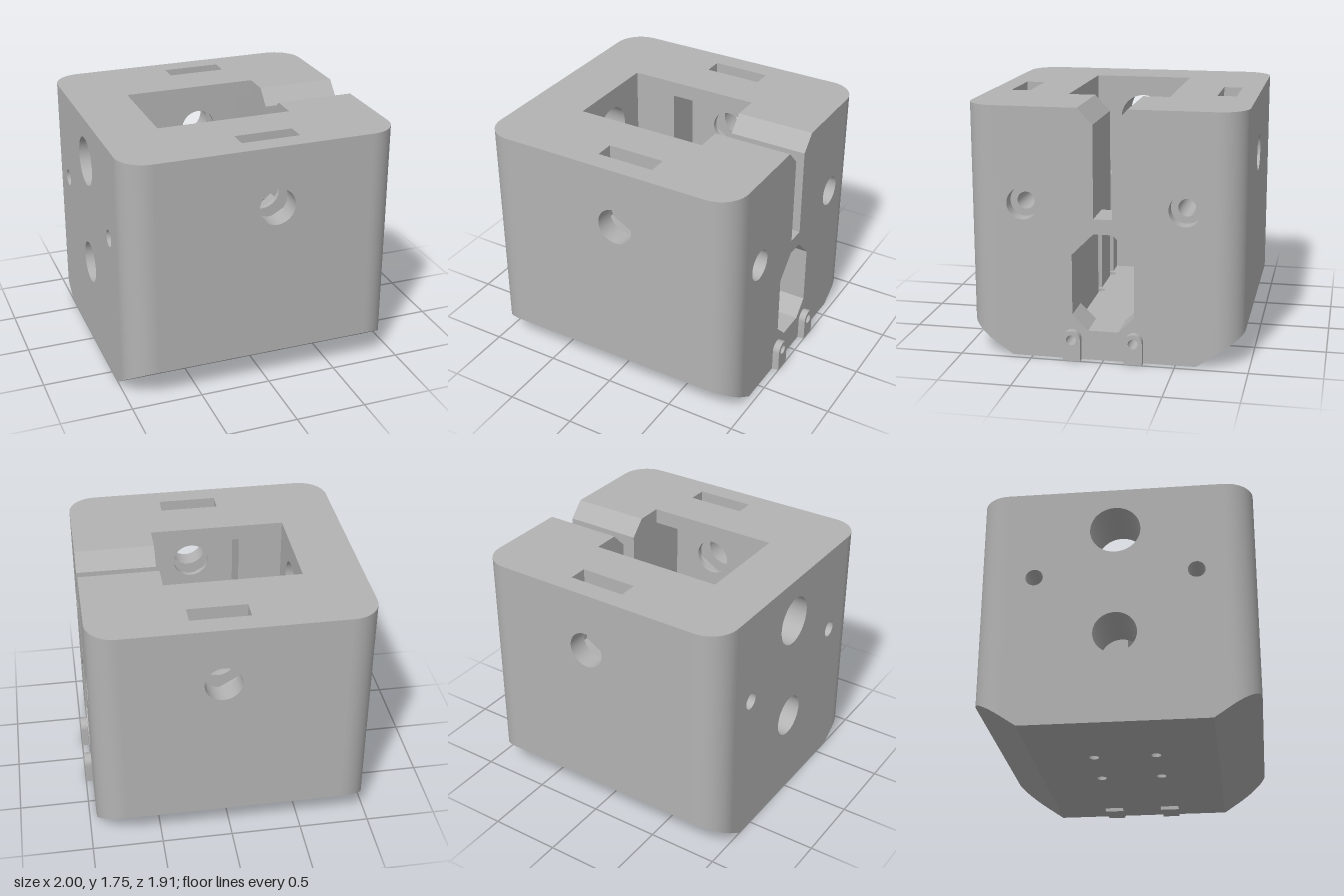
import * as THREE from 'three';
import { toCreasedNormals } from 'three/addons/utils/BufferGeometryUtils.js';

const grey = new THREE.MeshStandardMaterial({ color: 0xb3b3b3, side: THREE.DoubleSide });
grey.name = 'printed grey';

// Plane coordinates (u, v) at depth w: axis x -> (z, y), axis y -> (x, z), axis z -> (x, y)
const toWorld = {
  x: (u, v, w) => [w, v, u],
  y: (u, v, w) => [u, w, v],
  z: (u, v, w) => [u, v, w],
};
const depth = (w, u, v) => (typeof w === 'function' ? w(u, v) : w);

const arc = (cu, cv, r, a0, a1, n) => Array.from({ length: n + 1 }, (_, i) => {
  const a = (a0 + (a1 - a0) * i / n) * Math.PI / 180;
  return [cu + r * Math.cos(a), cv + r * Math.sin(a)];
});
const circle = (cu, cv, r) => arc(cu, cv, r, 0, 360, 40).slice(0, -1);
const rect = (u0, u1, v0, v1) => [[u0, v0], [u1, v0], [u1, v1], [u0, v1]];

export function createModel() {
  const model = new THREE.Group();
  model.name = 'housing';

  const add = (name, geometry) => {
    const mesh = new THREE.Mesh(geometry, grey);
    mesh.name = name;
    model.add(mesh);
  };

  // Flat face with holes
  const plate = (name, axis, w, outline, holes = []) => {
    const vec = (pts) => pts.map(([u, v]) => new THREE.Vector2(u, v));
    const shape = new THREE.Shape(vec(outline));
    shape.holes = holes.map((h) => new THREE.Path(vec(h)));
    const g = new THREE.ShapeGeometry(shape);
    const p = g.attributes.position;
    for (let i = 0; i < p.count; i++) {
      const u = p.getX(i), v = p.getY(i);
      p.setXYZ(i, ...toWorld[axis](u, v, depth(w, u, v)));
    }
    g.computeVertexNormals();
    add(name, g);
  };

  // Wall swept along an axis from w0 to w1 over a loop or an open line
  const wall = (name, axis, w0, w1, pts, closed = true) => {
    const out = [];
    const at = ([u, v], w) => toWorld[axis](u, v, depth(w, u, v));
    for (let i = 0; i < pts.length - (closed ? 0 : 1); i++) {
      const a = pts[i], b = pts[(i + 1) % pts.length];
      const q = [at(a, w0), at(b, w0), at(b, w1), at(a, w1)];
      for (const k of [0, 1, 2, 0, 2, 3]) out.push(...q[k]);
    }
    const g = new THREE.BufferGeometry();
    g.setAttribute('position', new THREE.Float32BufferAttribute(out, 3));
    g.computeVertexNormals();
    add(name, toCreasedNormals(g, 0.5));
  };

  // Main sizes
  const L = -1, R = 0.95, Z = 0.955, H = 1.75, r = 0.2;
  const bevelZ = 0.64, bevelY = 0.215;
  const pocketL = -0.58, pocketR = 0.385, pocketZ = 0.36;
  const recessL = -0.26, recessZ = 0.64, recessTop = 1.64;
  const ledge = 1.0, floor = 0.21, ch = 0.215, slot = 0.065;
  const boltY = 1.085, boltZ = 0.555;
  const bottomAt = (x, z) => Math.max(0, (Math.abs(z) - bevelZ) * bevelY / (Z - bevelZ));
  const roofAt = (x, z) => 0.96 - Math.abs(z);
  const corners = [
    arc(R - r, Z - r, r, 0, 90, 14), arc(L + r, Z - r, r, 90, 180, 14),
    arc(L + r, r - Z, r, 180, 270, 14), arc(R - r, r - Z, r, 270, 360, 14),
  ];
  const boltHoles = (rad) => [1, -1].map((s) => circle(s * boltZ, boltY, rad));
  const octagon = [[-0.105, floor], [0.105, floor], [ch, 0.32], [ch, 0.745],
    [slot, 0.895], [-slot, 0.895], [-ch, 0.745], [-ch, 0.32]];
  const nutSlot = (s) => s > 0 ? rect(-0.145, 0.27, 0.675, 0.81) : rect(-0.145, 0.27, -0.81, -0.675);
  const footSlot = (s) => rect(0.75, 0.83, s * 0.215 - 0.07, s * 0.215 + 0.07);
  const footHoles = [];
  for (const x of [-0.365, 0.06]) for (const s of [1, -1]) footHoles.push(circle(x, s * 0.215, 0.035));

  // Outer shell
  corners.forEach((c) => wall('roundedCorner', 'y', bottomAt, H, c, false));
  plate('topFace', 'y', H, [...corners.flat(), [R, -0.17], [pocketR, -0.17], [pocketR, -pocketZ],
    [pocketL, -pocketZ], [pocketL, pocketZ], [pocketR, pocketZ], [pocketR, 0.17], [R, 0.17]],
    [nutSlot(1), nutSlot(-1)]);
  plate('bottomFace', 'y', 0, rect(L, R, -bevelZ, bevelZ), [...footHoles, footSlot(1), footSlot(-1)]);
  const e = Z - r, eb = bottomAt(0, e);
  const sideBase = [[-e, eb], [-bevelZ, 0], [bevelZ, 0], [e, eb], [e, H]];
  plate('rightFace', 'x', R, [...sideBase, [0.17, H], [slot, 1.64], [slot, ledge], [-slot, ledge],
    [-slot, 1.64], [-0.17, H], [-e, H]],
    [octagon, ...boltHoles(0.11), circle(0.215, 0.15, 0.035), circle(-0.215, 0.15, 0.035)]);
  plate('leftFace', 'x', L, [...sideBase, [-e, H]],
    [circle(0, 1.43, 0.175), circle(0, 0.64, 0.15), ...boltHoles(0.06)]);

  // Left side bores and pocket end wall
  wall('upperBore', 'x', L, pocketL, circle(0, 1.43, 0.175));
  wall('lowerBore', 'x', L, pocketL, circle(0, 0.64, 0.15));
  plate('pocketEndWall', 'x', pocketL, [[-ch, floor], [ch, floor], [ch, ledge], [pocketZ, ledge],
    [pocketZ, H], [-pocketZ, H], [-pocketZ, ledge], [-ch, ledge]],
    [circle(0, 1.43, 0.175), circle(0, 0.64, 0.15)]);

  // Lower cavity floor, slot floor and channel roof
  const edge = (s) => [[pocketL, s * ch],
    ...arc(-0.365, s * ch, 0.065, 180, 180 - s * 180, 14),
    ...arc(0.06, s * ch, 0.065, 180, 180 - s * 180, 14), [0.23, s * ch]];
  plate('cavityFloor', 'y', floor, [...edge(1), [R, ch], [R, -ch], ...edge(-1).reverse()], footHoles);
  footHoles.forEach((h) => wall('footHole', 'y', 0, floor, h));
  plate('slotFloor', 'y', ledge, rect(0.68, R, -slot, slot));
  plate('slotRamp', 'y', (x) => 0.895 + (x - 0.6) * 0.105 / 0.08, rect(0.6, 0.68, -slot, slot));
  plate('channelRoof', 'y', 0.895, rect(0.6, R, -slot, slot));

  for (const s of [1, -1]) {
    const m = (pts) => pts.map(([u, v]) => [s * u, v]); // mirror in the (z, y) plane
    const n = (pts) => pts.map(([u, v]) => [u, s * v]); // mirror in the (x, z) plane
    const bore = circle(0.06, 1.32, 0.13);

    // Front and back faces with bevel
    plate('broadFace', 'z', s * Z, rect(L + r, R - r, bevelY, H), [bore]);
    plate('bottomBevel', 'y', bottomAt, n([[R, bevelZ],
      ...corners[0], ...corners[1], [L, bevelZ]]));

    // Side bore and hexagonal nut slot
    wall('sideBore', 'z', s * Z, s * 0.81, bore);
    wall('innerBore', 'z', s * 0.675, s * recessZ, bore);
    const nut = [[-0.145, H], [-0.145, 1.2], [0.06, 1.08], [0.27, 1.2], [0.27, H]];
    wall('nutSlotWall', 'z', s * 0.675, s * 0.81, nut, false);
    for (const z of [0.675, 0.81]) plate('nutSlotSide', 'z', s * z, nut, [bore]);

    // Upper pocket and its side recess
    plate('pocketSideWall', 'z', s * pocketZ, [[pocketL, ledge], [recessL, ledge], [recessL, recessTop],
      [pocketR, recessTop], [pocketR, H], [pocketL, H]]);
    const bolt = circle(s * boltZ, boltY, 0.06);
    plate('recessEnd', 'x', recessL, m(rect(pocketZ, recessZ, ledge, recessTop)), [bolt]);
    plate('recessCeiling', 'y', recessTop, n(rect(recessL, pocketR, pocketZ, recessZ)));
    plate('recessBack', 'z', s * recessZ, rect(recessL, pocketR, ledge, recessTop), [bore]);
    plate('pocketFrontWall', 'x', pocketR, m([[slot, ledge], [recessZ, ledge], [recessZ, recessTop],
      [pocketZ, recessTop], [pocketZ, H], [0.17, H], [slot, 1.64]]), [bolt]);
    plate('pocketLedge', 'y', ledge, [...edge(s), ...n([[pocketR, slot], [pocketR, recessZ],
      [recessL, recessZ], [recessL, pocketZ], [pocketL, pocketZ]])]);

    // Bolt holes with counterbores
    wall('boltHole', 'x', L, recessL, bolt);
    wall('boltHole', 'x', pocketR, 0.85, bolt);
    const sink = circle(s * boltZ, boltY, 0.11);
    wall('counterbore', 'x', 0.85, R, sink);
    plate('counterboreSeat', 'x', 0.85, sink, [bolt]);

    // Entry slot with flared top
    plate('slotWall', 'z', s * slot, [[pocketR, 0.895], [0.6, 0.895], [0.68, ledge], [R, ledge],
      [R, 1.64], [pocketR, 1.64]]);
    plate('slotFlare', 'y', (x, z) => 1.64 + (Math.abs(z) - slot) * 0.11 / 0.105,
      n(rect(pocketR, R, slot, 0.17)));

    // Lower cavity and octagonal channel
    wall('cavityWall', 'y', floor, ledge, edge(s), false);
    wall('cavityTaper', 'y', roofAt, ledge, n([[0.23, ch], [pocketR, slot]]), false);
    plate('channelWall', 'z', s * ch, rect(0.23, R, floor, 0.745));
    plate('channelRoofSlope', 'y', roofAt, n([[0.23, ch], [R, ch], [R, slot], [pocketR, slot]]));
    plate('channelFloorSlope', 'y', (x, z) => floor + Math.abs(z) - 0.105, n(rect(0.7, R, 0.105, ch)));
    plate('channelSlopeEnd', 'x', 0.7, m([[0.105, floor], [ch, floor], [ch, 0.32]]));

    // Hinge lug with screw hole and nut pocket underneath
    const lz = s * 0.215, lug = [[lz + 0.0625, 0], ...arc(lz, 0.1525, 0.0625, 0, 180, 20), [lz - 0.0625, 0]];
    const screw = circle(lz, 0.15, 0.035);
    plate('lugFace', 'x', 1, lug, [screw]);
    wall('lugSide', 'x', R, 1, lug);
    wall('screwHole', 'x', 0.83, 1, screw);
    wall('nutPocketWall', 'y', 0, 0.2, footSlot(s));
    plate('nutPocketTop', 'y', 0.2, footSlot(s));
  }
  return model;
}
